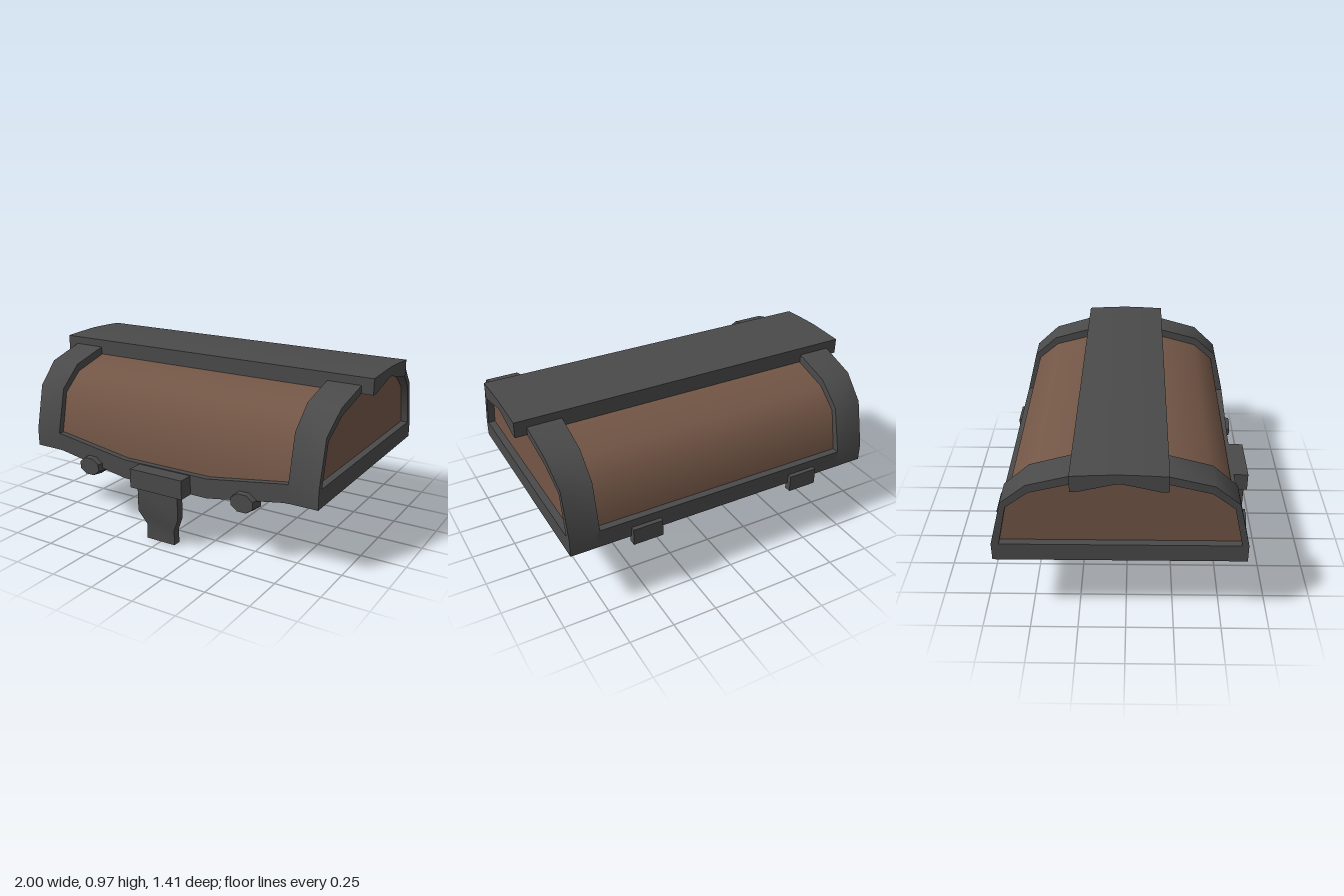
import * as THREE from 'three';
import { toCreasedNormals } from 'three/addons/utils/BufferGeometryUtils.js';

// Skin a list of closed loops (arrays of [x, y, z]) and cap both ends
function loft(loops, crease = 0.8) {
  const tris = [];
  const n = loops[0].length;
  for (let i = 0; i < loops.length - 1; i++) {
    for (let j = 0; j < n; j++) {
      const k = (j + 1) % n;
      const a = loops[i][j], b = loops[i][k], c = loops[i + 1][k], d = loops[i + 1][j];
      tris.push([a, b, c], [a, c, d]);
    }
  }
  const cap = (loop, flip) => {
    const mid = [0, 1, 2].map((t) => loop.reduce((s, p) => s + p[t], 0) / n);
    loop.forEach((p, j) => {
      const q = loop[(j + 1) % n];
      tris.push(flip ? [mid, q, p] : [mid, p, q]);
    });
  };
  cap(loops[0], true);
  cap(loops[loops.length - 1], false);
  // Turn every face outward using the sign of the enclosed volume
  let volume = 0;
  for (const [a, b, c] of tris) {
    volume += a[0] * (b[1] * c[2] - b[2] * c[1]) + a[1] * (b[2] * c[0] - b[0] * c[2]) + a[2] * (b[0] * c[1] - b[1] * c[0]);
  }
  if (volume < 0) tris.forEach((t) => t.reverse());
  const geo = new THREE.BufferGeometry();
  geo.setAttribute('position', new THREE.Float32BufferAttribute(tris.flat(2), 3));
  return toCreasedNormals(geo, crease);
}

export function createModel() {
  const group = new THREE.Group();
  const iron = new THREE.MeshStandardMaterial({ name: 'charcoal iron', color: 0x4a4a4a });
  const wood = new THREE.MeshStandardMaterial({ name: 'brown wood', color: 0x735646 });

  const add = (name, geo, mat, x = 0, y = 0, z = 0) => {
    const mesh = new THREE.Mesh(geo, mat);
    mesh.name = name;
    mesh.position.set(x, y, z);
    group.add(mesh);
    return mesh;
  };

  // Arch stations: outer z, outer y, inner z, inner y, half width
  const arch = [
    [0.62, 0.38, 0.585, 0.38, 0.91], [0.62, 0.48, 0.585, 0.48, 0.91],
    [0.56, 0.735, 0.535, 0.71, 0.912], [0.43, 0.853, 0.42, 0.81, 0.928],
    [0.2, 0.915, 0.2, 0.87, 0.935], [-0.26, 0.915, -0.25, 0.87, 0.935],
    [-0.48, 0.853, -0.47, 0.81, 0.928], [-0.615, 0.735, -0.59, 0.71, 0.912],
    [-0.68, 0.48, -0.64, 0.48, 0.91], [-0.68, 0.38, -0.64, 0.38, 0.91],
  ];

  // Wooden vault with a closed underside that dips at the front
  const dips = [[-0.87, 0.385], [-0.74, 0.385], [-0.27, 0.355], [0.27, 0.355], [0.74, 0.385], [0.87, 0.385]];
  add('woodenVault', loft(dips.map(([x, low]) => [
    [x, low, 0.585],
    ...arch.slice(1, -1).map((s) => [x, s[3], s[2]]),
    [x, 0.385, -0.64],
    [x, 0.385, 0.4],
  ])), wood);

  // Arched bands and straight sills at both ends
  for (const [s, side] of [[1, 'left'], [-1, 'right']]) {
    add(side + 'ArchBand', loft(arch.map(([oz, oy, iz, iy, w]) => [
      [s * w, oy, oz], [s * 0.745, oy, oz], [s * 0.745, iy, iz], [s * w, iy, iz],
    ])), iron);
    add(side + 'Sill', new THREE.BoxGeometry(0.05, 0.1, 1.29), iron, s * 0.885, 0.43, -0.03);

    // Front studs and rear hinge plates
    const stud = new THREE.CylinderGeometry(0.07, 0.081, 0.07, 8);
    stud.rotateY(Math.PI / 8);
    stud.rotateX(Math.PI / 2);
    stud.scale(1, 0.75, 1);
    add(side + 'Stud', toCreasedNormals(stud, 0.8), iron, s * 0.5, 0.335, 0.617);
    add(side + 'HingePlate', new THREE.BoxGeometry(0.17, 0.095, 0.04), iron, s * 0.487, 0.387, -0.685);
  }

  // Lower rails, the front one bowed downward
  const bow = [[-0.76, 0.38, 0.48], [-0.72, 0.378, 0.478], [-0.27, 0.3, 0.41], [0.27, 0.3, 0.41], [0.72, 0.378, 0.478], [0.76, 0.38, 0.48]];
  add('frontRail', loft(bow.map(([x, lo, hi]) => [
    [x, lo, 0.62], [x, hi, 0.62], [x, hi, 0.575], [x, lo, 0.58],
  ])), iron);
  add('backRail', new THREE.BoxGeometry(1.52, 0.1, 0.05), iron, 0, 0.43, -0.655);

  // Ridge cap with a hollow underside
  const ridge = [
    [0.207, 0.87], [0.207, 0.957], [0.09, 0.963], [-0.03, 0.967], [-0.15, 0.963], [-0.263, 0.957],
    [-0.263, 0.87], [-0.225, 0.87], [-0.15, 0.905], [-0.03, 0.915], [0.09, 0.905], [0.17, 0.87],
  ];
  add('ridgeCap', loft([-1, 1].map((x) => ridge.map(([z, y]) => [x, y, z]))), iron);

  // Clasp block and hanging tongue
  add('claspBlock', new THREE.BoxGeometry(0.335, 0.107, 0.12), iron, 0, 0.352, 0.645);
  const tongue = [
    [0.31, 0.13, 0.643, 0.69], [0.165, 0.13, 0.643, 0.69],
    [0.085, 0.09, 0.62, 0.667], [0, 0.09, 0.62, 0.667],
  ];
  add('claspTongue', loft(tongue.map(([y, w, back, front]) => [
    [-w, y, front], [w, y, front], [w, y, back], [-w, y, back],
  ])), iron);

  return group;
}
